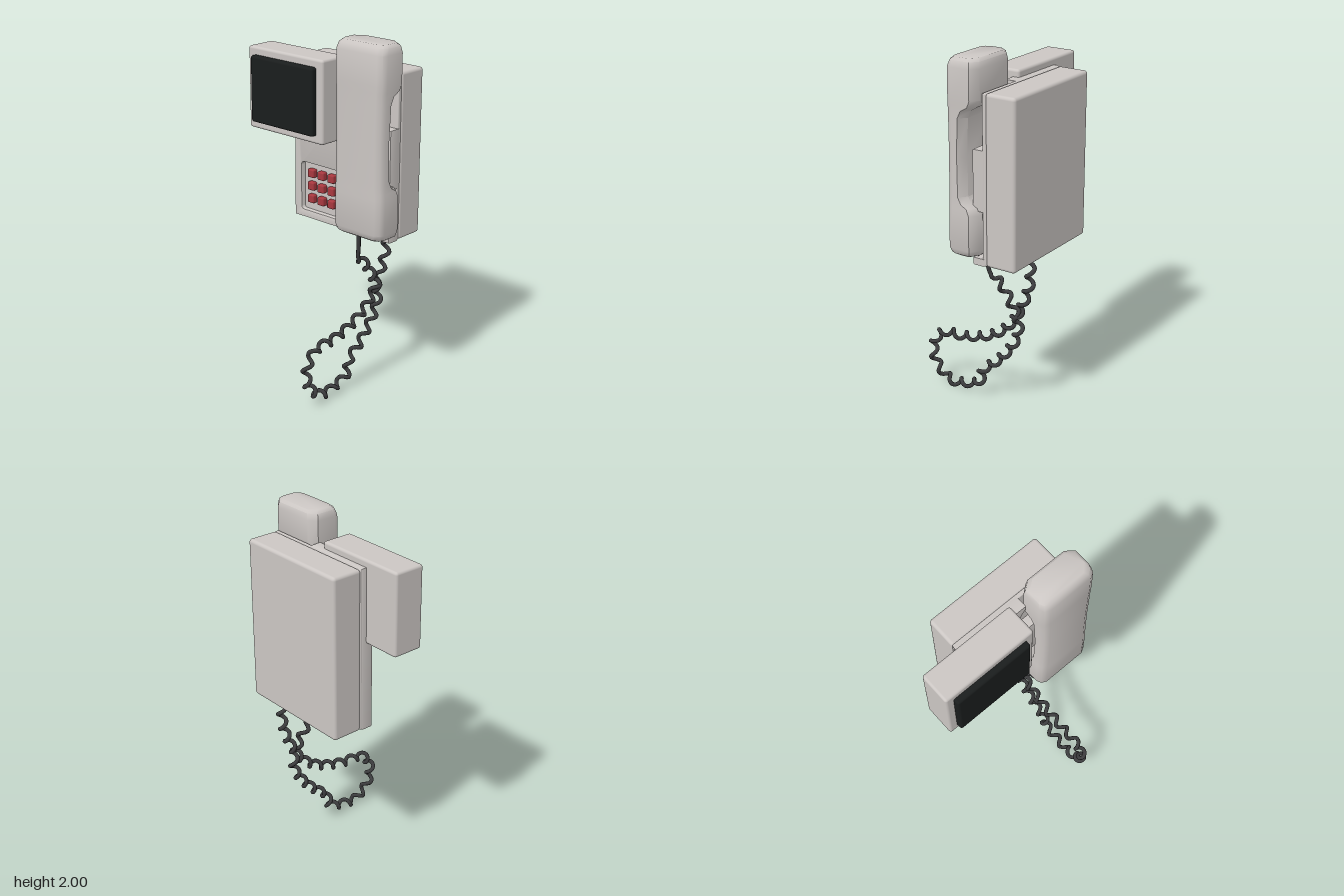
import * as THREE from 'three';
import { RoundedBoxGeometry } from 'three/addons/geometries/RoundedBoxGeometry.js';
import { toCreasedNormals } from 'three/addons/utils/BufferGeometryUtils.js';

const grey = new THREE.MeshStandardMaterial({ color: 0xcbc6c3 });
const black = new THREE.MeshStandardMaterial({ color: 0x1a1d1d });
const red = new THREE.MeshStandardMaterial({ color: 0xa8383f });
const cordGrey = new THREE.MeshStandardMaterial({ color: 0x3c3c3e });

function add(parent, name, geometry, material) {
  const mesh = new THREE.Mesh(geometry, material);
  mesh.name = name;
  parent.add(mesh);
  return mesh;
}

// Rounded box given by its extents on each axis
function box(parent, name, [x0, x1], [y0, y1], [z0, z1], r, material) {
  const geo = new RoundedBoxGeometry(x1 - x0, y1 - y0, z1 - z0, 3, r);
  geo.translate((x0 + x1) / 2, (y0 + y1) / 2, (z0 + z1) / 2);
  return add(parent, name, geo, material);
}

// Front plate with a keypad window and two cradle cut-outs for the handset
function plateGeometry() {
  const s = new THREE.Shape();
  s.moveTo(-0.27, 0.9);
  s.lineTo(0.43, 0.9);
  s.lineTo(0.43, 0.94);
  s.lineTo(0.14, 0.94);
  s.bezierCurveTo(0.09, 0.95, 0.09, 1.15, 0.14, 1.2);
  s.lineTo(0.43, 1.2);
  s.lineTo(0.43, 1.53);
  s.lineTo(0.13, 1.53);
  s.bezierCurveTo(0.09, 1.6, 0.09, 1.76, 0.14, 1.79);
  s.lineTo(0.14, 1.83);
  s.lineTo(-0.27, 1.83);
  s.closePath();
  const window = new THREE.Path();
  const [x0, x1, y0, y1, r] = [-0.217, 0.063, 0.947, 1.227, 0.02];
  window.moveTo(x0 + r, y0);
  window.quadraticCurveTo(x0, y0, x0, y0 + r);
  window.lineTo(x0, y1 - r);
  window.quadraticCurveTo(x0, y1, x0 + r, y1);
  window.lineTo(x1 - r, y1);
  window.quadraticCurveTo(x1, y1, x1, y1 - r);
  window.lineTo(x1, y0 + r);
  window.quadraticCurveTo(x1, y0, x1 - r, y0);
  s.holes.push(window);
  const geo = new THREE.ExtrudeGeometry(s, {
    depth: 0.06, bevelThickness: 0.008, bevelSize: 0.008, bevelOffset: -0.008,
    bevelSegments: 2, curveSegments: 8,
  });
  geo.translate(0, 0, -0.168);
  return toCreasedNormals(geo, 0.7);
}

// Handset lofted upwards through chamfered rings: [y, half width, back z, front z]
function handsetGeometry() {
  const rings = [
    [0.945, 0.145, -0.125, 0.012], [0.955, 0.16, -0.138, 0.026], [0.985, 0.17, -0.145, 0.035],
    [1.18, 0.17, -0.145, 0.035], [1.215, 0.168, -0.13, 0.035], [1.235, 0.167, -0.095, 0.035],
    [1.27, 0.166, -0.075, 0.035], [1.48, 0.163, -0.07, 0.035], [1.69, 0.166, -0.078, 0.035],
    [1.73, 0.167, -0.098, 0.035], [1.755, 0.168, -0.14, 0.035], [1.79, 0.17, -0.155, 0.035],
    [1.95, 0.17, -0.155, 0.034], [1.985, 0.162, -0.15, 0.022], [2.0, 0.145, -0.135, 0.005],
  ];
  const n = 10, pos = [], idx = [];
  for (const [y, w, b, f] of rings) {
    const ring = [
      [w, f - 0.04], [w, b + 0.035], [w - 0.045, b], [-w + 0.045, b], [-w, b + 0.035],
      [-w, f - 0.04], [-w + 0.012, f - 0.014], [-w + 0.04, f], [w - 0.04, f], [w - 0.012, f - 0.014],
    ];
    for (const [x, z] of ring) pos.push(0.31 + x, y, z);
  }
  for (let i = 0; i < rings.length - 1; i++) {
    for (let j = 0; j < n; j++) {
      const a = i * n + j, b = i * n + (j + 1) % n;
      idx.push(a, b, b + n, a, b + n, a + n);
    }
  }
  // end caps
  const top = (rings.length - 1) * n;
  for (let j = 1; j < n - 1; j++) {
    idx.push(0, j + 1, j);
    idx.push(top, top + j, top + j + 1);
  }
  const geo = new THREE.BufferGeometry();
  geo.setAttribute('position', new THREE.Float32BufferAttribute(pos, 3));
  geo.setIndex(idx);
  return toCreasedNormals(geo, 0.75);
}

// Coil wound round a hanging path; the lead from the handset stays straight
class CoilCurve extends THREE.Curve {
  constructor(path, turns, radius, lead) {
    super();
    Object.assign(this, { path, turns, radius, lead });
  }
  getPoint(t, target = new THREE.Vector3()) {
    const side = new THREE.Vector3(1, 0, 0);
    const across = this.path.getTangentAt(t).cross(side).normalize();
    const a = t * this.turns * Math.PI * 2;
    const r = this.radius * THREE.MathUtils.smoothstep(t, this.lead, this.lead + 0.02);
    return target.copy(this.path.getPointAt(t))
      .addScaledVector(side, r * Math.cos(a))
      .addScaledVector(across, r * Math.sin(a));
  }
}

function cordGeometry() {
  const zy = [
    [-0.13, 0.73], [-0.2, 0.635], [-0.25, 0.53], [-0.25, 0.45], [-0.19, 0.34], [-0.1, 0.24],
    [-0.02, 0.17], [0.01, 0.085], [0.1, 0.05], [0.21, 0.038], [0.315, 0.13], [0.325, 0.24],
    [0.26, 0.325], [0.11, 0.342], [-0.04, 0.385], [-0.15, 0.45], [-0.23, 0.54], [-0.29, 0.66],
    [-0.325, 0.78], [-0.325, 0.92],
  ];
  const points = [
    new THREE.Vector3(0.26, 0.96, -0.05), new THREE.Vector3(0.25, 0.85, -0.062),
    new THREE.Vector3(0.235, 0.765, -0.08),
    ...zy.map(([z, y]) => new THREE.Vector3(0.228, y, z)),
  ];
  const path = new THREE.CatmullRomCurve3(points, false, 'centripetal');
  path.arcLengthDivisions = 600;
  return new THREE.TubeGeometry(new CoilCurve(path, 27, 0.022, 0.075), 800, 0.012, 7);
}

export function createModel() {
  const model = new THREE.Group();
  model.name = 'wallVideoPhone';

  // wall housing and front plate
  box(model, 'housing', [-0.27, 0.43], [0.9, 1.83], [-0.36, -0.18], 0.018, grey);
  box(model, 'cradleFloor', [-0.268, 0.428], [0.902, 1.828], [-0.185, -0.16], 0.006, grey);
  add(model, 'frontPlate', plateGeometry(), grey);

  // screen unit
  const screen = new THREE.Group();
  screen.name = 'screenUnit';
  box(screen, 'screenCase', [-0.49, 0.07], [1.405, 1.87], [-0.145, 0.036], 0.015, grey);
  box(screen, 'screen', [-0.444, 0.024], [1.45, 1.826], [0.0, 0.07], 0.014, black);
  model.add(screen);

  // keypad
  const keypad = new THREE.Group();
  keypad.name = 'keypad';
  box(keypad, 'keypadFloor', [-0.225, 0.07], [0.94, 1.235], [-0.165, -0.13], 0.004, grey);
  for (let row = 0; row < 3; row++) {
    for (let col = 0; col < 3; col++) {
      const x = -0.15 + col * 0.075, y = 1.168 - row * 0.075;
      box(keypad, 'button', [x - 0.024, x + 0.024], [y - 0.024, y + 0.024], [-0.145, -0.1], 0.008, red);
    }
  }
  model.add(keypad);

  // handset and its coiled cord
  add(model, 'handset', handsetGeometry(), grey);
  add(model, 'coiledCord', cordGeometry(), cordGrey);
  return model;
}
